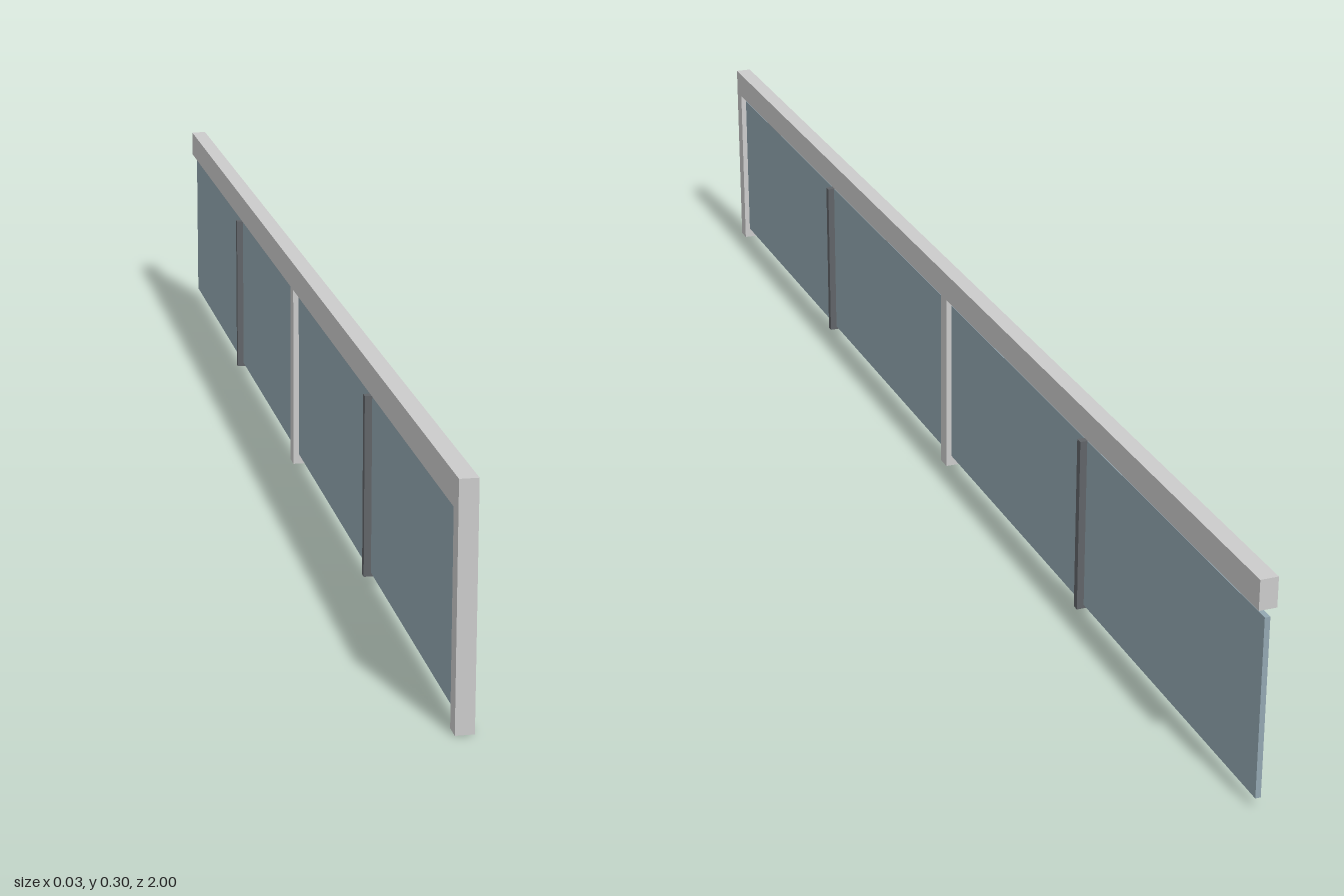
import * as THREE from 'three';

export function createModel() {
  const group = new THREE.Group();
  const frame = new THREE.MeshStandardMaterial({ color: 0xcccccc });
  const glass = new THREE.MeshStandardMaterial({ color: 0x93a7b1 });
  const dark = new THREE.MeshStandardMaterial({ color: 0x606468 });

  // Box centred on x, given its width and its y and z ranges
  function bar(name, material, width, y0, y1, z0, z1) {
    const mesh = new THREE.Mesh(new THREE.BoxGeometry(width, y1 - y0, z1 - z0), material);
    mesh.position.set(0, (y0 + y1) / 2, (z0 + z1) / 2);
    mesh.name = name;
    group.add(mesh);
  }

  // Continuous top rail
  bar('topRail', frame, 0.023, 0.261, 0.3, -1, 1);

  // Two bays: a post at the front end of each, a glass panel behind it, a joint strip mid-bay
  [[1, 0, 0.505], [0, -1, -0.5]].forEach(([front, back, joint]) => {
    const postBack = front - 0.022;
    const panelBack = back === 0 ? 0 : -1;
    bar('post', frame, 0.023, 0, 0.261, postBack, front);
    bar('panelFrontHalf', glass, 0.007, 0.015, 0.251, joint, postBack);
    bar('panelBackHalf', glass, 0.007, 0.015, 0.251, panelBack, joint);
    bar('jointStrip', dark, 0.026, 0.01, 0.251, joint - 0.005, joint + 0.005);
  });

  return group;
}
